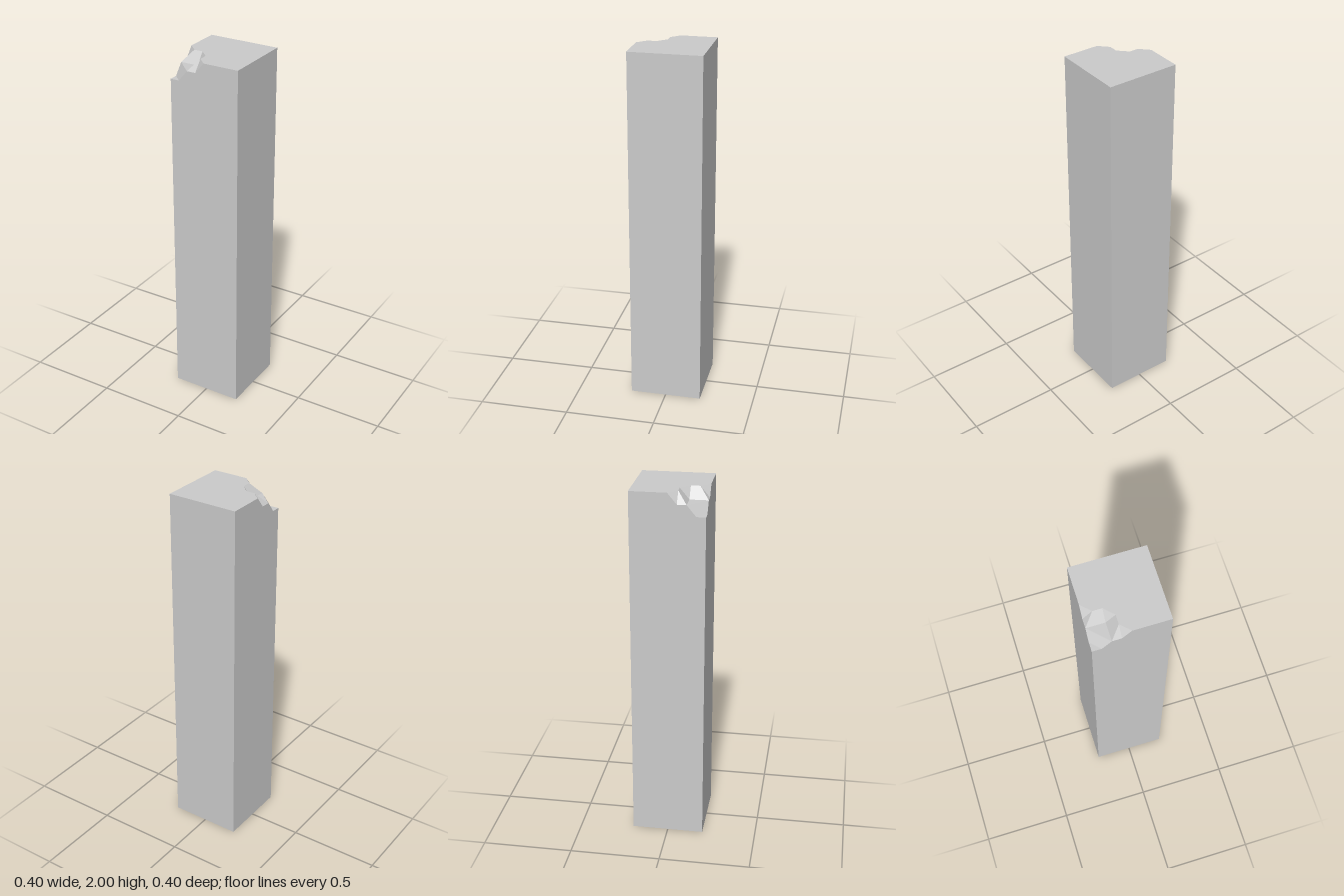
import * as THREE from 'three';

const H = 2, W = 0.2;          // pillar height and half width
const MID = 1.94, LOW = 1.88;  // the two ledges of the broken corner

// Fans each flat polygon (counter-clockwise from outside) from its first corner
function facesMesh(name, faces, material) {
  const pos = [];
  for (const f of faces)
    for (let i = 1; i < f.length - 1; i++) pos.push(...f[0], ...f[i], ...f[i + 1]);
  const g = new THREE.BufferGeometry();
  g.setAttribute('position', new THREE.Float32BufferAttribute(pos, 3));
  g.computeVertexNormals();
  const mesh = new THREE.Mesh(g, material);
  mesh.name = name;
  return mesh;
}

export function createModel() {
  const group = new THREE.Group();
  group.name = 'chippedPillar';
  const material = new THREE.MeshStandardMaterial({ color: 0xcccccc, flatShading: true });

  // Rim of the break on the top face, from the right side round to the front
  const rim = [[-W, H, 0], [-0.15, H, 0.05], [-0.1, H, 0.05], [-0.05, H, 0.1], [-0.05, H, 0.15], [0, H, W]];
  // Break line down the front face
  const front = [rim[5], [-0.05, MID, W], [-0.1, MID, W], [-0.15, LOW, W], [-W, LOW, W]];
  // Break line up the right side face
  const side = [front[4], [-W, LOW, 0.15], [-W, MID, 0.1], [-W, MID, 0.05], rim[0]];
  // Inner corner of the middle ledge
  const inner = [-0.1, MID, 0.1];

  // Pillar faces
  group.add(facesMesh('pillar', [
    [[W, 0, W], [W, H, W], ...front, [-W, 0, W]],
    [[-W, 0, -W], [-W, 0, W], ...side, [-W, H, -W]],
    [[W, H, -W], [-W, H, -W], ...rim, [W, H, W]],
    [[W, 0, W], [W, 0, -W], [W, H, -W], [W, H, W]],
    [[W, 0, -W], [-W, 0, -W], [-W, H, -W], [W, H, -W]],
    [[-W, 0, -W], [W, 0, -W], [W, 0, W], [-W, 0, W]],
  ], material));

  // Facets of the broken corner
  group.add(facesMesh('brokenCorner', [
    [side[1], side[0], front[3]],            // low ledge
    [side[2], side[1], front[3], front[2]],  // slope between ledges
    [side[2], front[2], inner],              // middle ledge
    [inner, front[2], rim[4], rim[3]],       // slopes up to the top
    [front[2], front[1], rim[4]],
    [front[1], rim[5], rim[4]],
    [side[2], inner, rim[2], rim[1]],
    [inner, rim[3], rim[2]],
    [side[3], side[2], rim[1]],
    [rim[0], side[3], rim[1]],
  ], material));

  return group;
}
